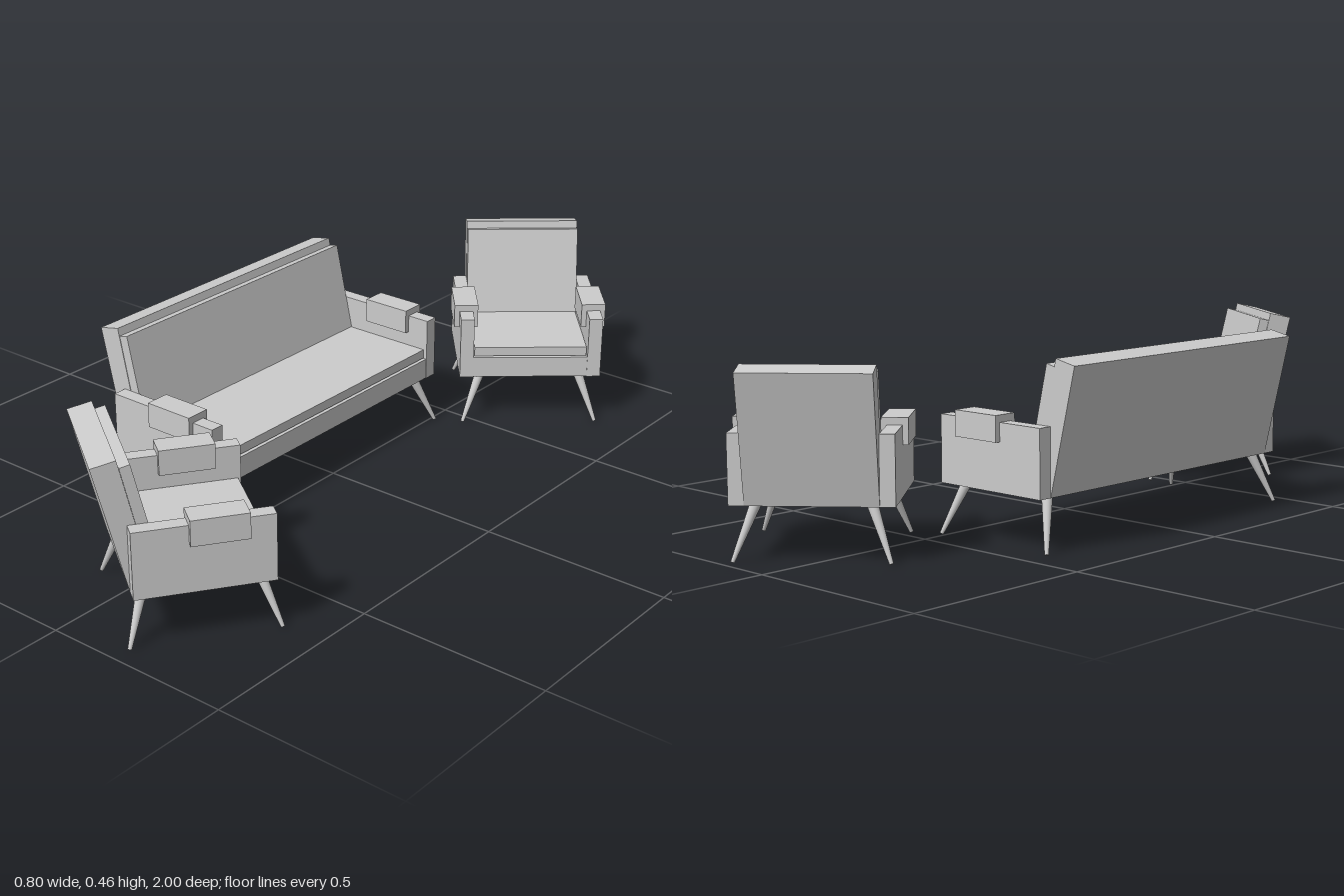
import * as THREE from 'three';

const material = new THREE.MeshStandardMaterial({ color: 0xcccccc });

function part(parent, name, geometry, x = 0, y = 0, z = 0) {
  const mesh = new THREE.Mesh(geometry, material);
  mesh.name = name;
  mesh.position.set(x, y, z);
  parent.add(mesh);
  return mesh;
}

// Box given by its limits on each axis
function block(parent, name, [x0, x1], [y0, y1], [z0, z1]) {
  return part(parent, name, new THREE.BoxGeometry(x1 - x0, y1 - y0, z1 - z0),
    (x0 + x1) / 2, (y0 + y1) / 2, (z0 + z1) / 2);
}

// Side profile (x, y) swept across the seat width
function slab(parent, name, points, halfWidth) {
  const shape = new THREE.Shape(points.map(([x, y]) => new THREE.Vector2(x, y)));
  const geometry = new THREE.ExtrudeGeometry(shape, { depth: 2 * halfWidth, bevelEnabled: false });
  return part(parent, name, geometry, 0, 0, -halfWidth);
}

// Tapered round leg from its top point to its foot
function leg(parent, top, foot) {
  const axis = top.clone().sub(foot);
  const mesh = part(parent, 'leg', new THREE.CylinderGeometry(0.014, 0.005, axis.length(), 16));
  mesh.position.copy(top).add(foot).multiplyScalar(0.5);
  mesh.quaternion.setFromUnitVectors(new THREE.Vector3(0, 1, 0), axis.normalize());
}

// One seat facing +x, centred on its base; inner is half the width between the arms
function createSeat(name, inner) {
  const seat = new THREE.Group();
  seat.name = name;
  const outer = inner + 0.037;
  const depth = 0.165;

  block(seat, 'base', [-depth, depth - 0.002], [0.13, 0.187], [-inner, inner]);
  block(seat, 'seatCushion', [-0.11, depth - 0.008], [0.19, 0.215], [-inner + 0.003, inner - 0.003]);
  block(seat, 'cushionSupport', [-0.11, depth - 0.02], [0.185, 0.192], [-inner, inner]);

  // Leaning backrest: rear shell and lower front cushion
  slab(seat, 'backShell', [[-0.165, 0.13], [-0.108, 0.13], [-0.181, 0.461], [-0.24, 0.448]], inner);
  slab(seat, 'backCushion', [[-0.112, 0.15], [-0.083, 0.15], [-0.151, 0.447], [-0.176, 0.441]], inner - 0.001);

  for (const side of [-1, 1]) {
    const span = (a, b) => [side * a, side * b].sort((p, q) => p - q);
    block(seat, 'arm', [-depth, depth], [0.13, 0.3], span(inner, outer));
    block(seat, 'armPad', [-0.035, 0.102], [0.253, 0.318], span(inner - 0.014, outer + 0.014));
    for (const end of [-1, 1]) {
      leg(seat, new THREE.Vector3(end * 0.132, 0.135, side * (outer - 0.06)),
        new THREE.Vector3(end * 0.177, 0, side * (outer - 0.01)));
    }
  }
  return seat;
}

export function createModel() {
  const model = new THREE.Group();
  model.name = 'loungeSet';

  // Sofa and two armchairs: name, half width, x, z, turn
  const seats = [
    ['sofa', 0.415, -0.165, 0.01, 0],
    ['rearArmchair', 0.157, 0.11, -0.722, -0.875],
    ['frontArmchair', 0.157, 0.14, 0.703, 0.963],
  ];
  for (const [name, inner, x, z, turn] of seats) {
    const seat = createSeat(name, inner);
    seat.position.set(x, 0, z);
    seat.rotation.y = turn;
    model.add(seat);
  }
  return model;
}
